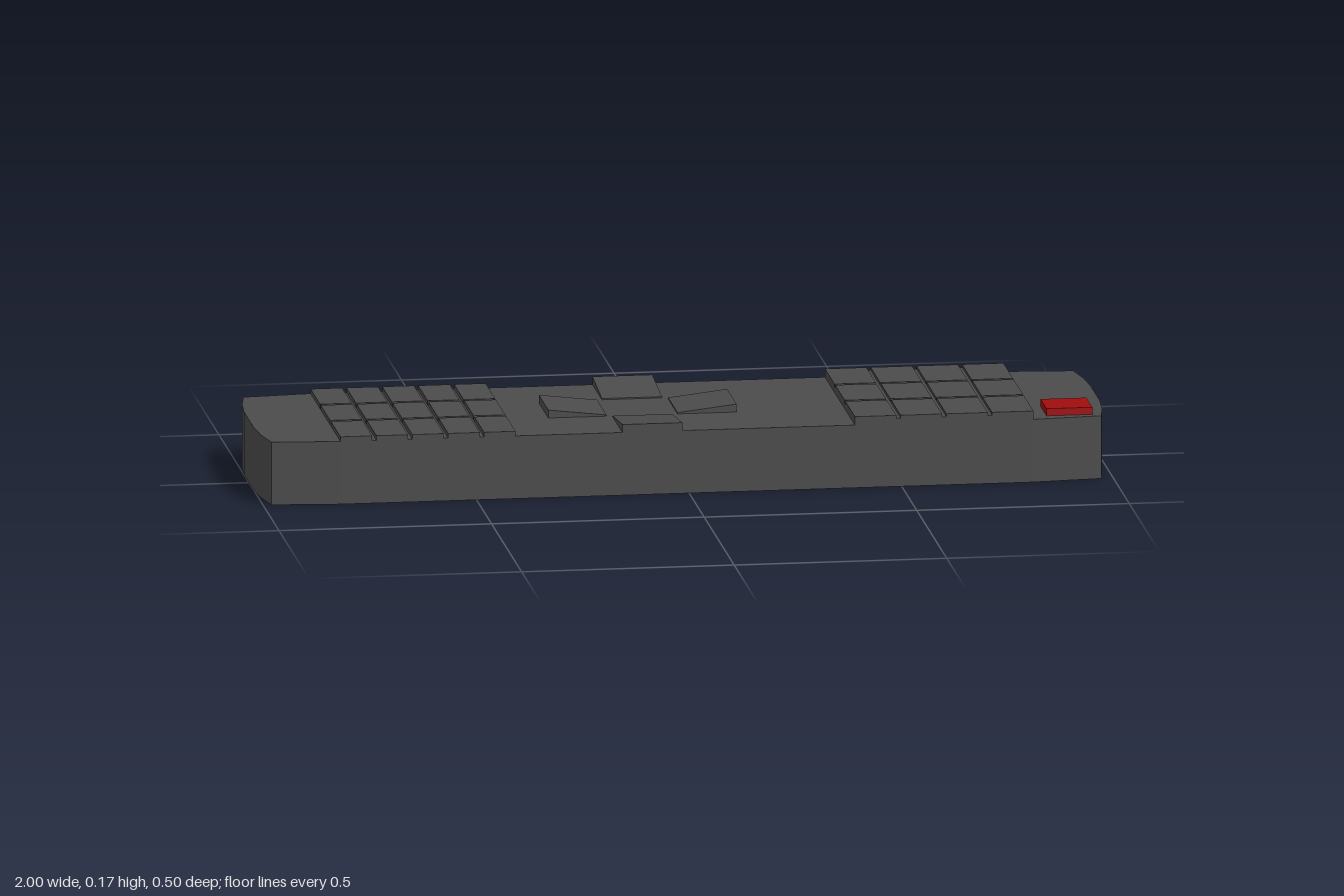
import * as THREE from 'three';

const TOP = 0.15; // height of the casing's upper face

export function createModel() {
  const model = new THREE.Group();
  model.name = 'remoteControl';

  const casing = new THREE.MeshStandardMaterial({ color: 0x4b4b4b, flatShading: true });
  casing.name = 'charcoal plastic';
  const red = new THREE.MeshStandardMaterial({ color: 0xa00d0d, flatShading: true });
  red.name = 'red plastic';

  const add = (name, geometry, material = casing, parent = model) => {
    const mesh = new THREE.Mesh(geometry, material);
    mesh.name = name;
    parent.add(mesh);
    return mesh;
  };
  const group = (name) => {
    const g = new THREE.Group();
    g.name = name;
    model.add(g);
    return g;
  };
  // Box given by its limits on each axis
  const block = (x0, x1, y0, y1, z0, z1) =>
    new THREE.BoxGeometry(x1 - x0, y1 - y0, z1 - z0)
      .translate((x0 + x1) / 2, (y0 + y1) / 2, (z0 + z1) / 2);

  // Casing: tapered corners and gently bowed ends, extruded upwards
  const half = [
    [-1, 0.08], [-0.994, 0.16], [-0.98, 0.235], [-0.82, 0.25],
    [0.81, 0.25], [0.972, 0.235], [0.984, 0.16], [0.99, 0.08],
  ];
  const outline = [...half, ...half.map(([x, z]) => [x, -z]).reverse()];
  const shape = new THREE.Shape(outline.map(([x, z]) => new THREE.Vector2(x, z)));
  const body = new THREE.ExtrudeGeometry(shape, { depth: TOP, bevelEnabled: false });
  add('casing', body.rotateX(-Math.PI / 2));

  const rows = [[-0.25, -0.091], [-0.08, 0.078], [0.089, 0.25]];

  // Grid of flat keys in three rows
  const keyGrid = (name, x0, x1, columns, gap, y0, y1) => {
    const g = group(name);
    const width = (x1 - x0 - gap * (columns - 1)) / columns;
    for (let c = 0; c < columns; c++) {
      const x = x0 + c * (width + gap);
      for (const [z0, z1] of rows) add('key', block(x, x + width, y0, y1, z0, z1), casing, g);
    }
    return g;
  };
  keyGrid('smallKeys', -0.82, -0.408, 5, 0.01, TOP - 0.005, 0.161);
  const large = keyGrid('largeKeys', 0.39, 0.81, 4, 0.01, 0.16, 0.17);
  add('keyBed', block(0.39, 0.81, TOP - 0.005, 0.163, -0.25, 0.25), casing, large);

  // Direction keys, each sloping down towards the middle of the cross
  const pad = group('directionPad');
  const centre = new THREE.Vector2(-0.085, 0);
  const wedge = (name, x0, x1, z0, z1) => {
    const geometry = block(x0, x1, TOP - 0.005, 0.169, z0, z1);
    const p = geometry.attributes.position;
    const alongX = Math.abs((x0 + x1) / 2 - centre.x) > 0.05;
    const middle = alongX ? (x0 + x1) / 2 : (z0 + z1) / 2;
    const origin = alongX ? centre.x : centre.y;
    for (let i = 0; i < p.count; i++) {
      const v = alongX ? p.getX(i) : p.getZ(i);
      const inner = Math.abs(v - origin) < Math.abs(middle - origin);
      if (p.getY(i) > TOP && inner) p.setY(i, 0.153);
    }
    geometry.computeVertexNormals();
    add(name, geometry, casing, pad);
  };
  wedge('rightKey', -0.307, -0.17, ...rows[1]);
  wedge('leftKey', -0.003, 0.136, ...rows[1]);
  wedge('backKey', -0.157, -0.016, ...rows[0]);
  wedge('frontKey', -0.157, -0.016, ...rows[2]);

  // Power button
  add('powerButton', block(0.845, 0.953, TOP - 0.005, 0.167, 0.117, 0.218), red);

  // Signal emitter: square hollow pyramid on the end, red lens inside
  const emitter = group('emitter');
  emitter.position.set(0.988, 0.075, 0);
  const r = Math.SQRT2;
  const profile = [[0.042, 0], [0.018, 0.012], [0.015, 0.012], [0.015, 0]]
    .map(([x, y]) => new THREE.Vector2(x * r, y));
  const hood = new THREE.LatheGeometry(profile, 4).toNonIndexed();
  hood.computeVertexNormals();
  hood.rotateY(Math.PI / 4).rotateZ(-Math.PI / 2);
  const hoodMaterial = casing;
  hoodMaterial.side = THREE.DoubleSide;
  add('emitterHood', hood, hoodMaterial, emitter);
  const lens = new THREE.CylinderGeometry(0.016, 0.016, 0.008, 8);
  lens.rotateY(Math.PI / 8).rotateZ(-Math.PI / 2).translate(0.004, 0, 0);
  add('emitterLens', lens, red, emitter);

  return model;
}
